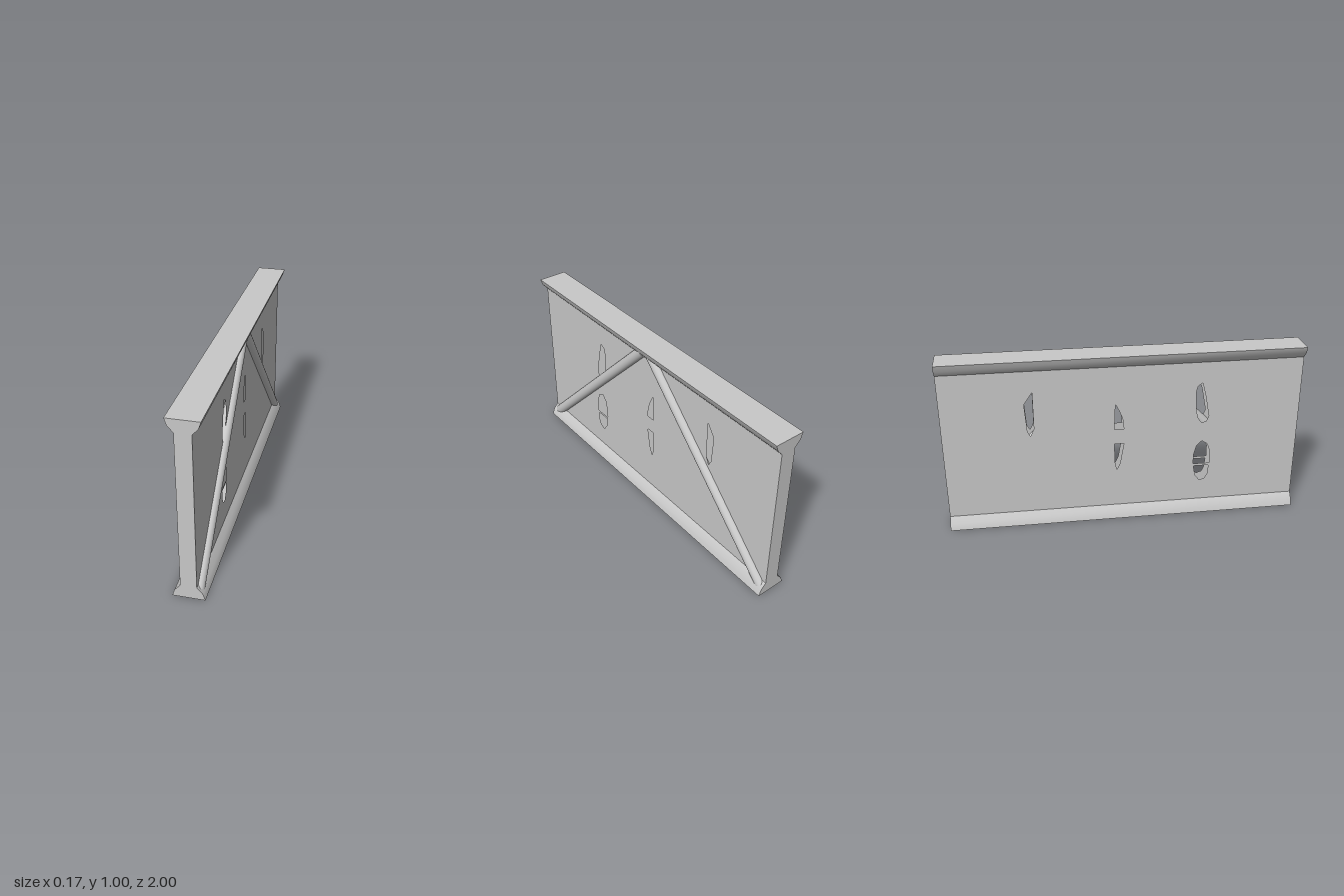
import * as THREE from 'three';
import { toCreasedNormals } from 'three/addons/utils/BufferGeometryUtils.js';

const HALF = 0.042;      // half thickness of the web
const FLANGE = 0.07;     // flange height

// Openings in the web, as [z, y] outlines
const OPENINGS = [
  [[0.435, 0.807], [0.41, 0.79], [0.4, 0.75], [0.405, 0.64], [0.42, 0.59], [0.44, 0.565], [0.465, 0.575], [0.478, 0.605], [0.455, 0.73]],
  [[0.495, 0.305], [0.4, 0.305], [0.4, 0.36], [0.415, 0.42], [0.445, 0.45], [0.477, 0.43], [0.495, 0.375]],
  [[0.49, 0.29], [0.402, 0.29], [0.413, 0.23], [0.44, 0.195], [0.47, 0.205], [0.485, 0.235]],
  [[-0.05, 0.71], [-0.056, 0.556], [-0.003, 0.556], [-0.01, 0.62], [-0.03, 0.67]],
  [[-0.003, 0.465], [-0.056, 0.465], [-0.054, 0.35], [-0.043, 0.3], [-0.025, 0.34]],
  [[-0.5, 0.807], [-0.547, 0.738], [-0.536, 0.577], [-0.52, 0.547], [-0.5, 0.59]],
];

const outline = (points, sx = 1) => points.map(([a, b]) => new THREE.Vector2(a * sx, b));

export function createModel() {
  const group = new THREE.Group();
  const grey = new THREE.MeshStandardMaterial({ color: 0xc8c8c8, side: THREE.DoubleSide });
  grey.name = 'grey';

  const add = (name, geometry) => {
    const mesh = new THREE.Mesh(geometry, grey);
    mesh.name = name;
    group.add(mesh);
    return mesh;
  };

  // Flared flanges along the bottom and top
  const half = [[0.084, 0], [0.072, 0.036], [HALF, FLANGE]];
  const profile = [...half, ...half.map(([x, y]) => [-x, y]).reverse()];
  for (const top of [false, true]) {
    const shape = new THREE.Shape(outline(profile.map(([x, y]) => [x, top ? 1 - y : y])));
    const geometry = new THREE.ExtrudeGeometry(shape, { depth: 2, bevelEnabled: false });
    geometry.translate(0, 0, -1);
    add(top ? 'topFlange' : 'bottomFlange', toCreasedNormals(geometry, 0.6));
  }

  // Hollow web: a pierced panel on each side
  for (const side of [1, -1]) {
    const panel = new THREE.Shape(outline([[-1, FLANGE], [1, FLANGE], [1, 1 - FLANGE], [-1, 1 - FLANGE]]));
    panel.holes = OPENINGS.map((o) => new THREE.Path(outline(o, -side)));
    const geometry = new THREE.ShapeGeometry(panel);
    geometry.rotateY(side * Math.PI / 2);
    geometry.translate(side * HALF, 0, 0);
    add(side > 0 ? 'leftWebPanel' : 'rightWebPanel', geometry);
  }

  // Web end faces
  for (const end of [1, -1]) {
    const geometry = new THREE.PlaneGeometry(HALF * 2, 1 - FLANGE * 2);
    if (end < 0) geometry.rotateY(Math.PI);
    geometry.translate(0, 0.5, end);
    add(end > 0 ? 'frontWebEnd' : 'backWebEnd', geometry);
  }

  // Diagonal braces, half sunk into the left panel
  for (const end of [1, -1]) {
    const length = 0.93 * Math.SQRT2;
    const brace = add(end > 0 ? 'frontBrace' : 'backBrace', new THREE.CylinderGeometry(0.031, 0.031, length, 24));
    brace.position.set(0.04, 0.5, end * 0.5);
    brace.rotation.x = -end * Math.PI / 4;
  }

  return group;
}
